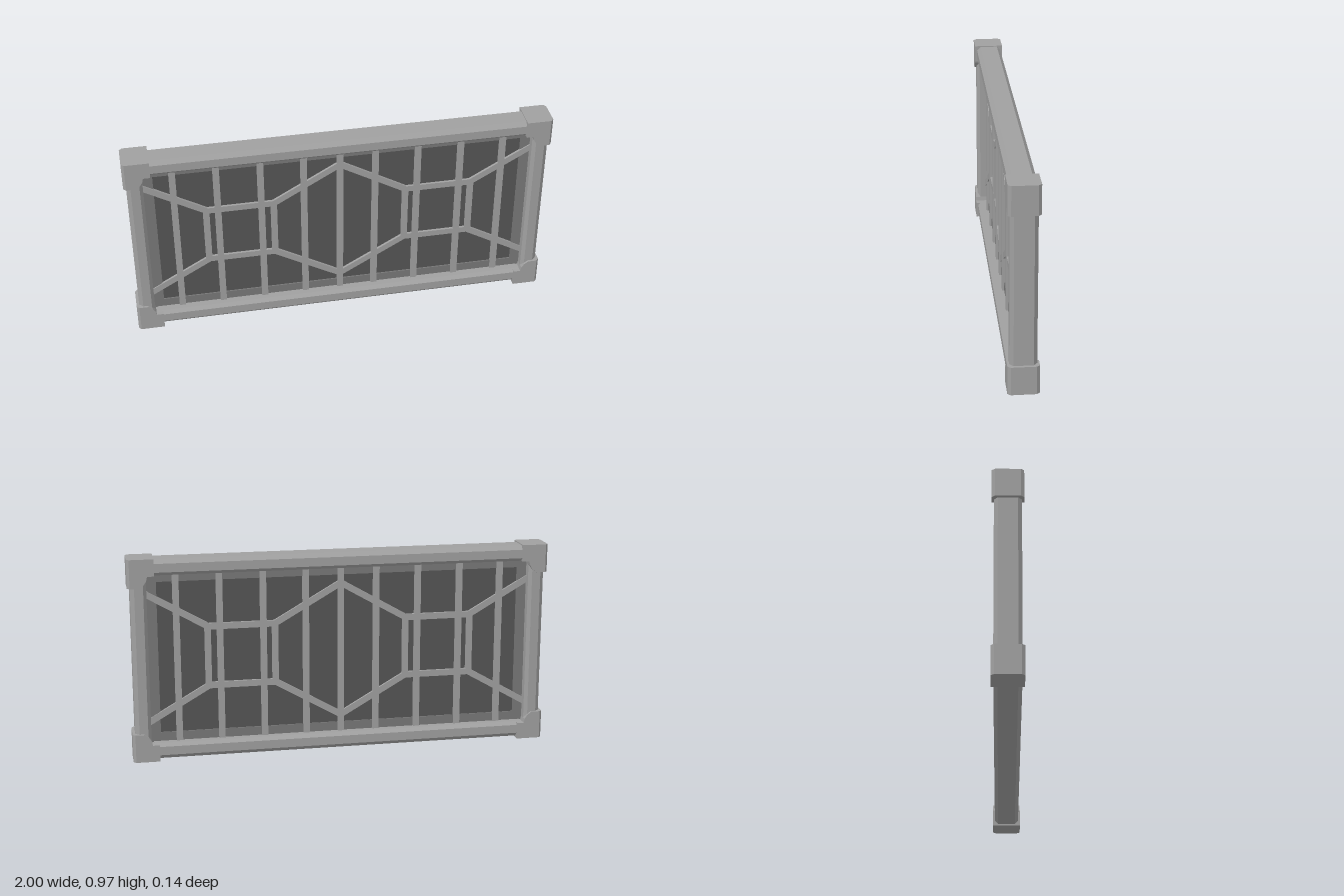
import * as THREE from 'three';

const H = 0.97, MID = 0.488;

export function createModel() {
  const model = new THREE.Group();
  const steel = new THREE.MeshStandardMaterial({ color: 0xa0a0a0 });
  steel.name = 'light grey steel';
  const trim = new THREE.MeshStandardMaterial({ color: 0x787878 });
  trim.name = 'mid grey trim';
  const dark = new THREE.MeshStandardMaterial({ color: 0x555555 });
  dark.name = 'dark grey panel';

  const add = (name, geometry, material, x = 0, y = 0, z = 0) => {
    const mesh = new THREE.Mesh(geometry, material);
    mesh.name = name;
    mesh.position.set(x, y, z);
    model.add(mesh);
    return mesh;
  };
  const polygon = (pts) => new THREE.Shape(pts.map(([x, y]) => new THREE.Vector2(x, y)));

  // Chamfered rail section: x = depth, y = distance outwards from the rail's inner edge
  const section = polygon([
    [-0.045, 0], [0.045, 0], [0.06, 0.015], [0.06, 0.056],
    [0.043, 0.075], [-0.043, 0.075], [-0.06, 0.056], [-0.06, 0.015],
  ]);
  const rail = (name, length, x, y, turn) => {
    const g = new THREE.ExtrudeGeometry(section, { depth: length, bevelEnabled: false });
    g.translate(0, 0, -length / 2).rotateY(Math.PI / 2).rotateZ(turn);
    add(name, g, steel, x, y);
  };
  rail('topRail', 1.8, 0, 0.89, 0);
  rail('bottomRail', 1.8, 0, 0.083, Math.PI);
  rail('leftPost', 0.78, 0.912, MID, -Math.PI / 2);
  rail('rightPost', 0.78, -0.912, MID, Math.PI / 2);

  // Corner blocks: notched on the inside, outer upright edges chamfered
  const cornerShape = (sx, top) => {
    const pts = [
      [1, 0], [1, 0.135], [0.945, 0.135], [0.925, 0.12],
      [0.912, 0.1], [0.908, 0.08], [0.875, 0.08], [0.875, 0],
    ];
    return polygon(pts.map(([x, y]) => [x * sx, top ? H - y : y]));
  };
  for (const sx of [1, -1]) {
    for (const top of [false, true]) {
      const g = new THREE.ExtrudeGeometry(cornerShape(sx, top), { depth: 0.14, steps: 10, bevelEnabled: false });
      g.translate(0, 0, -0.07);
      const p = g.attributes.position;
      for (let i = 0; i < p.count; i++) {
        if (Math.abs(p.getX(i)) > 0.999 && Math.abs(p.getZ(i)) > 0.069) p.setX(i, sx * 0.988);
      }
      g.computeVertexNormals();
      add((top ? 'top' : 'bottom') + (sx > 0 ? 'Left' : 'Right') + 'Corner', g, steel);
    }
  }

  // Dark panel with a raised border
  add('panel', new THREE.BoxGeometry(1.8, 0.78, 0.012), dark, 0, MID);
  const border = polygon([[-0.93, 0.07], [0.93, 0.07], [0.93, 0.905], [-0.93, 0.905]]);
  border.holes.push(new THREE.Path([
    [-0.865, 0.125], [-0.865, 0.852], [0.865, 0.852], [0.865, 0.125],
  ].map(([x, y]) => new THREE.Vector2(x, y))));
  const borderGeo = new THREE.ExtrudeGeometry(border, { depth: 0.024, bevelEnabled: false });
  add('panelBorder', borderGeo.translate(0, 0, -0.012), trim);

  // Upright bars
  for (const x of [-0.777, -0.577, -0.373, -0.171, 0, 0.168, 0.37, 0.575, 0.777]) {
    add('uprightBar', new THREE.BoxGeometry(0.03, 0.83, 0.044), steel, x, MID);
  }

  // Hexagonal lattice, mirrored left/right and up/down
  const strut = (x1, y1, x2, y2) => {
    const dx = x2 - x1, dy = y2 - y1;
    const g = new THREE.BoxGeometry(Math.hypot(dx, dy) + 0.012, 0.03, 0.036);
    add('latticeStrut', g, steel, (x1 + x2) / 2, (y1 + y2) / 2).rotation.z = Math.atan2(dy, dx);
  };
  const path = [[0, 0.325], [0.315, 0.143], [0.63, 0.143], [0.915, 0.308]];
  for (const sx of [1, -1]) {
    for (const sy of [1, -1]) {
      for (let i = 0; i < 3; i++) {
        const [a, b] = [path[i], path[i + 1]];
        strut(a[0] * sx, MID + a[1] * sy, b[0] * sx, MID + b[1] * sy);
      }
    }
    for (const x of [0.315, 0.633]) strut(x * sx, MID - 0.143, x * sx, MID + 0.143);
  }
  return model;
}
